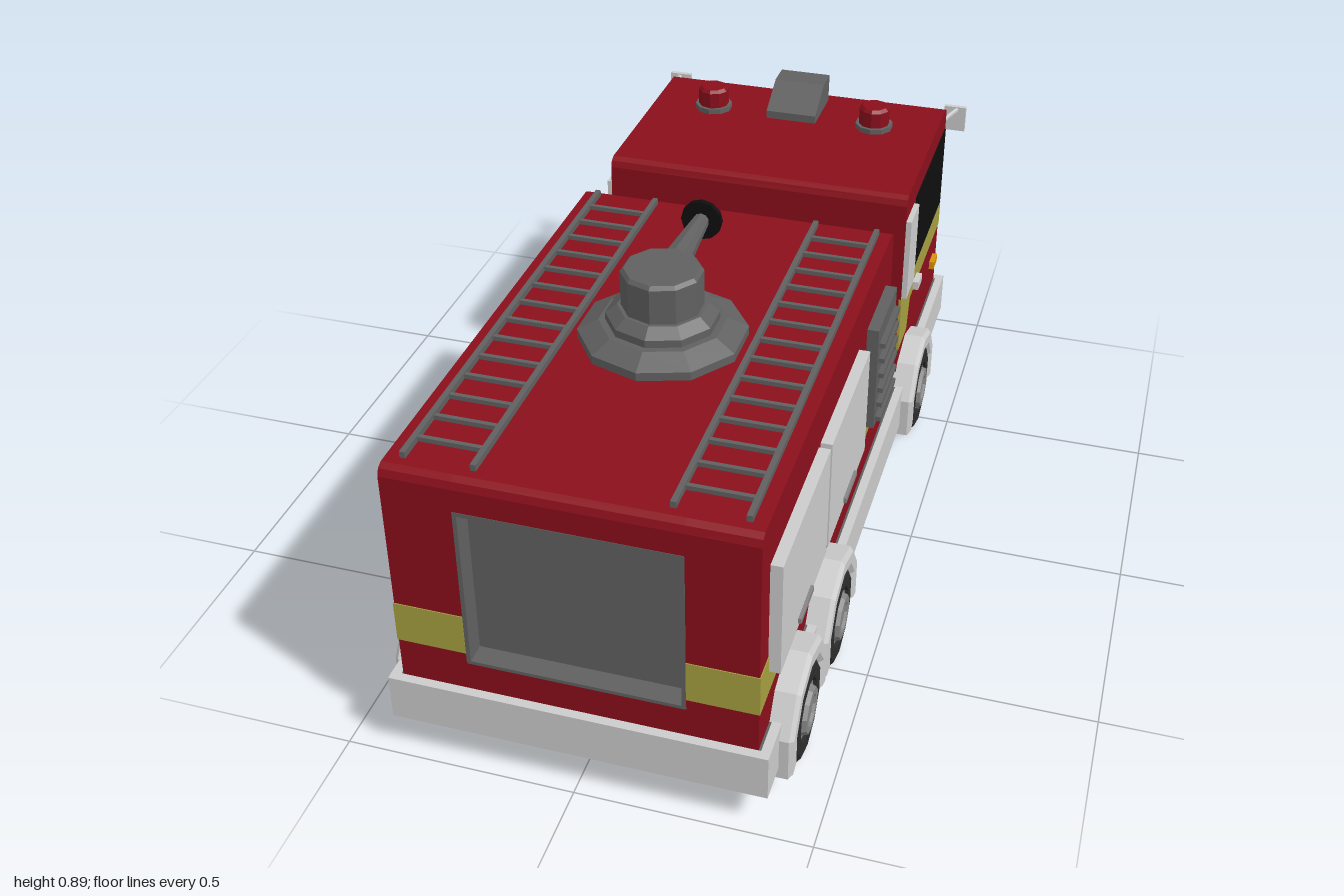
import * as THREE from 'three';

const COLORS = {
  red: 0x8a0f1b, yellow: 0xa6a040, light: 0xcccccc, dark: 0x606060,
  mid: 0x858585, black: 0x0e0e0e, tyre: 0x2c2c2c, orange: 0xd8920c,
};
const mats = {};
for (const k in COLORS) {
  mats[k] = new THREE.MeshStandardMaterial({ color: COLORS[k], flatShading: true });
}

export function createModel() {
  const model = new THREE.Group();
  model.name = 'fireTruck';

  const add = (name, color, geo, parent = model) => {
    const m = new THREE.Mesh(geo, mats[color]);
    m.name = name;
    parent.add(m);
    return m;
  };
  // box from its limits
  const box = (name, color, x0, x1, y0, y1, z0, z1) => add(name, color,
    new THREE.BoxGeometry(x1 - x0, y1 - y0, z1 - z0)
      .translate((x0 + x1) / 2, (y0 + y1) / 2, (z0 + z1) / 2));
  // the same box on both sides
  const pair = (name, color, x0, x1, ...r) => {
    box(name + 'Left', color, x0, x1, ...r);
    box(name + 'Right', color, -x1, -x0, ...r);
  };
  const shapeOf = (pts) => new THREE.Shape(pts.map(([a, b]) => new THREE.Vector2(a, b)));
  // side profile of (z, y) points, extruded across x
  const acrossX = (pts, x0, x1) =>
    new THREE.ExtrudeGeometry(shapeOf(pts), { depth: x1 - x0, bevelEnabled: false })
      .rotateY(-Math.PI / 2).translate(x1, 0, 0);
  // chamfered roof edge between two ends
  const roof = (z0, z1, y) => [
    [z1, y - 0.022], [z1 - 0.006, y - 0.007], [z1 - 0.02, y],
    [z0 + 0.02, y], [z0 + 0.006, y - 0.007], [z0, y - 0.022]];

  // Skirt rim and floor
  const rim = shapeOf([[-0.4, -0.93], [0.4, -0.93], [0.4, 0.98], [-0.4, 0.98]]);
  rim.holes.push(new THREE.Path([[-0.38, -0.91], [-0.38, 0.96], [0.38, 0.96], [0.38, -0.91]]
    .map(([a, b]) => new THREE.Vector2(a, b))));
  add('skirt', 'light', new THREE.ExtrudeGeometry(rim, { depth: 0.105, bevelEnabled: false })
    .rotateX(Math.PI / 2).translate(0, 0.19, 0));
  box('floor', 'dark', -0.385, 0.385, 0.095, 0.188, -0.915, 0.965);
  box('floorCrossbar', 'light', -0.38, 0.38, 0.086, 0.1, -0.385, -0.37);

  // Rear body, with a shutter recess in the middle third
  const top = roof(-0.21, 0.96, 0.715);
  for (const [x0, x1] of [[0.228, 0.375], [-0.375, -0.228]]) {
    add('bodySide', 'red', acrossX([[-0.21, 0.19], [0.96, 0.19], ...top], x0, x1));
  }
  add('bodyMiddle', 'red', acrossX([[-0.21, 0.19], [0.96, 0.19], [0.96, 0.26], [0.91, 0.26],
    [0.91, 0.64], [0.96, 0.64], ...top], -0.228, 0.228));
  box('shutter', 'dark', -0.228, 0.228, 0.26, 0.64, 0.905, 0.915);
  pair('shutterJamb', 'dark', 0.22, 0.229, 0.26, 0.64, 0.91, 0.961);
  box('shutterSill', 'dark', -0.228, 0.228, 0.258, 0.266, 0.91, 0.961);
  box('shutterLintel', 'dark', -0.228, 0.228, 0.632, 0.641, 0.91, 0.961);
  pair('bodyStripe', 'yellow', 0.37, 0.377, 0.285, 0.38, -0.21, 0.962);
  pair('rearStripe', 'yellow', 0.229, 0.376, 0.285, 0.38, 0.955, 0.962);

  // Side lockers and louvres
  for (const [z0, z1] of [[0.52, 0.9], [0.145, 0.505]]) {
    pair('locker', 'light', 0.37, 0.4, 0.343, 0.607, z0, z1);
    const h = z0 > 0.5 ? 0.66 : 0.26;
    pair('lockerHandle', 'mid', 0.4, 0.407, 0.355, 0.367, h, h + 0.105);
  }
  pair('louvreFrame', 'dark', 0.37, 0.402, 0.343, 0.607, -0.14, 0.06);
  for (let i = 0; i < 6; i++) {
    const y = 0.36 + i * 0.04;
    pair('louvreSlat', 'dark', 0.4, 0.415, y - 0.006, y + 0.006, -0.125, 0.045);
  }

  // Link between body and cab
  box('cabLink', 'dark', -0.32, 0.32, 0.18, 0.6, -0.38, -0.2);

  // Cab
  add('cab', 'red', acrossX([[-0.91, 0.19], [-0.37, 0.19], ...roof(-0.91, -0.37, 0.715)],
    -0.375, 0.375));
  const cabStripe = [[-0.912, 0.365], [-0.5, 0.365], [-0.475, 0.285], [-0.369, 0.285],
    [-0.369, 0.433], [-0.912, 0.433]];
  for (const x of [0.37, -0.377]) add('cabStripe', 'yellow', acrossX(cabStripe, x, x + 0.007));
  box('cabFrontStripe', 'yellow', -0.376, 0.376, 0.365, 0.433, -0.912, -0.9);
  pair('cabPost', 'light', 0.37, 0.388, 0.435, 0.65, -0.475, -0.375);
  pair('sideWindow', 'black', 0.37, 0.378, 0.437, 0.655, -0.9, -0.5);
  box('windscreen', 'black', -0.345, 0.345, 0.437, 0.655, -0.914, -0.9);
  pair('doorHandle', 'light', 0.37, 0.392, 0.372, 0.394, -0.58, -0.53);
  pair('sideLamp', 'orange', 0.37, 0.388, 0.278, 0.3, -0.855, -0.805);

  // Grille and headlights
  add('grille', 'dark', new THREE.ExtrudeGeometry(
    shapeOf([[-0.235, 0.205], [0.235, 0.205], [0.235, 0.345], [0.19, 0.38], [-0.19, 0.38], [-0.235, 0.345]]),
    { depth: 0.02, bevelEnabled: false }).translate(0, 0, -0.922));
  for (let i = 0; i < 5; i++) {
    const y = 0.225 + i * 0.029;
    box('grilleSlat', 'dark', -0.215, 0.215, y, y + 0.012, -0.93, -0.92);
  }
  pair('headlightFrame', 'dark', 0.255, 0.36, 0.272, 0.335, -0.919, -0.9);
  pair('headlight', 'yellow', 0.268, 0.347, 0.284, 0.323, -0.923, -0.91);

  // Mirrors on thin arms
  for (const s of [1, -1]) {
    const arm = new THREE.LineCurve3(
      new THREE.Vector3(s * 0.362, 0.672, -0.9), new THREE.Vector3(s * 0.39, 0.672, -0.99));
    add('mirrorArm', 'light', new THREE.TubeGeometry(arm, 1, 0.006, 6));
  }
  pair('mirror', 'light', 0.357, 0.415, 0.612, 0.68, -1, -0.988);

  // Beacons and air scoop on the cab roof
  for (const x of [0.215, -0.215]) {
    add('beaconBase', 'dark', new THREE.CylinderGeometry(0.048, 0.048, 0.016, 10).translate(x, 0.72, -0.735));
    add('beacon', 'red', new THREE.LatheGeometry([[0.039, 0.715], [0.039, 0.768], [0.032, 0.776], [0, 0.776]]
      .map(([r, y]) => new THREE.Vector2(r, y)), 10).translate(x, 0, -0.735));
  }
  add('airScoop', 'dark', acrossX([[-0.86, 0.71], [-0.71, 0.71], [-0.71, 0.735], [-0.8, 0.785], [-0.865, 0.785]],
    -0.065, 0.065));
  box('scoopOpening', 'black', -0.05, 0.05, 0.73, 0.772, -0.868, -0.85);

  // Roof ladders
  for (const c of [0.268, -0.268]) {
    for (const o of [-0.072, 0.072]) {
      box('ladderRail', 'dark', c + o - 0.006, c + o + 0.006, 0.713, 0.729, -0.18, 0.92);
    }
    for (let i = 0; i < 14; i++) {
      const z = -0.11 + i * 0.0745;
      box('ladderRung', 'dark', c - 0.07, c + 0.07, 0.716, 0.726, z - 0.005, z + 0.005);
    }
  }

  // Water cannon
  const cannon = new THREE.Group();
  cannon.name = 'waterCannon';
  cannon.position.z = 0.37;
  model.add(cannon);
  add('cannonTurret', 'dark', new THREE.LatheGeometry([
    [0.18, 0.71], [0.18, 0.734], [0.135, 0.757], [0.12, 0.757], [0.12, 0.774], [0.095, 0.793],
    [0.087, 0.793], [0.087, 0.872], [0.08, 0.88], [0, 0.88]]
    .map(([r, y]) => new THREE.Vector2(r, y)), 10), cannon);
  add('cannonBarrel', 'dark', new THREE.CylinderGeometry(0.018, 0.034, 0.22, 10)
    .rotateX(-Math.PI / 2).translate(0, 0.842, -0.17), cannon);
  add('cannonNozzle', 'black', new THREE.CylinderGeometry(0.046, 0.046, 0.013, 12)
    .rotateX(-Math.PI / 2).translate(0, 0.842, -0.283), cannon);

  // Wheels and their arches
  const tyre = [[0, -0.045], [0.1, -0.045], [0.113, -0.03], [0.113, 0.035], [0.1, 0.045], [0.07, 0.045], [0.066, 0.03]];
  const hub = [[0.07, 0.02], [0.066, 0.038], [0.055, 0.038], [0.05, 0.052], [0.035, 0.052], [0.03, 0.046], [0, 0.046]];
  const lathe = (p) => new THREE.LatheGeometry(p.map(([r, y]) => new THREE.Vector2(r, y)), 10);
  const arch = [];
  for (let i = 0; i <= 6; i++) {
    const a = (-18 + i * 36) * Math.PI / 180;
    arch.push([Math.cos(a) * 0.146, Math.sin(a) * 0.146]);
  }
  for (let i = 6; i >= 0; i--) {
    const a = (-18 + i * 36) * Math.PI / 180;
    arch.push([Math.cos(a) * 0.12, Math.sin(a) * 0.12]);
  }
  for (const z of [0.75, 0.455, -0.475]) {
    for (const s of [1, -1]) {
      const wheel = new THREE.Group();
      wheel.name = 'wheel';
      wheel.position.set(s * 0.381, 0.113, z);
      wheel.rotation.z = -s * Math.PI / 2;
      model.add(wheel);
      // a corner of each ten-sided ring points down
      const turn = (g) => g.rotateY(Math.PI / 2);
      add('tyre', 'tyre', turn(lathe(tyre)), wheel);
      add('hub', 'mid', turn(lathe(hub)), wheel);
      const geo = new THREE.ExtrudeGeometry(shapeOf(arch),
        { depth: 0.05, bevelThickness: 0.009, bevelSize: 0.009, bevelSegments: 1 });
      const fender = add('wheelArch', 'light', geo);
      fender.rotation.y = s * Math.PI / 2;
      fender.position.set(s * 0.37, 0.113, z);
    }
  }
  return model;
}
